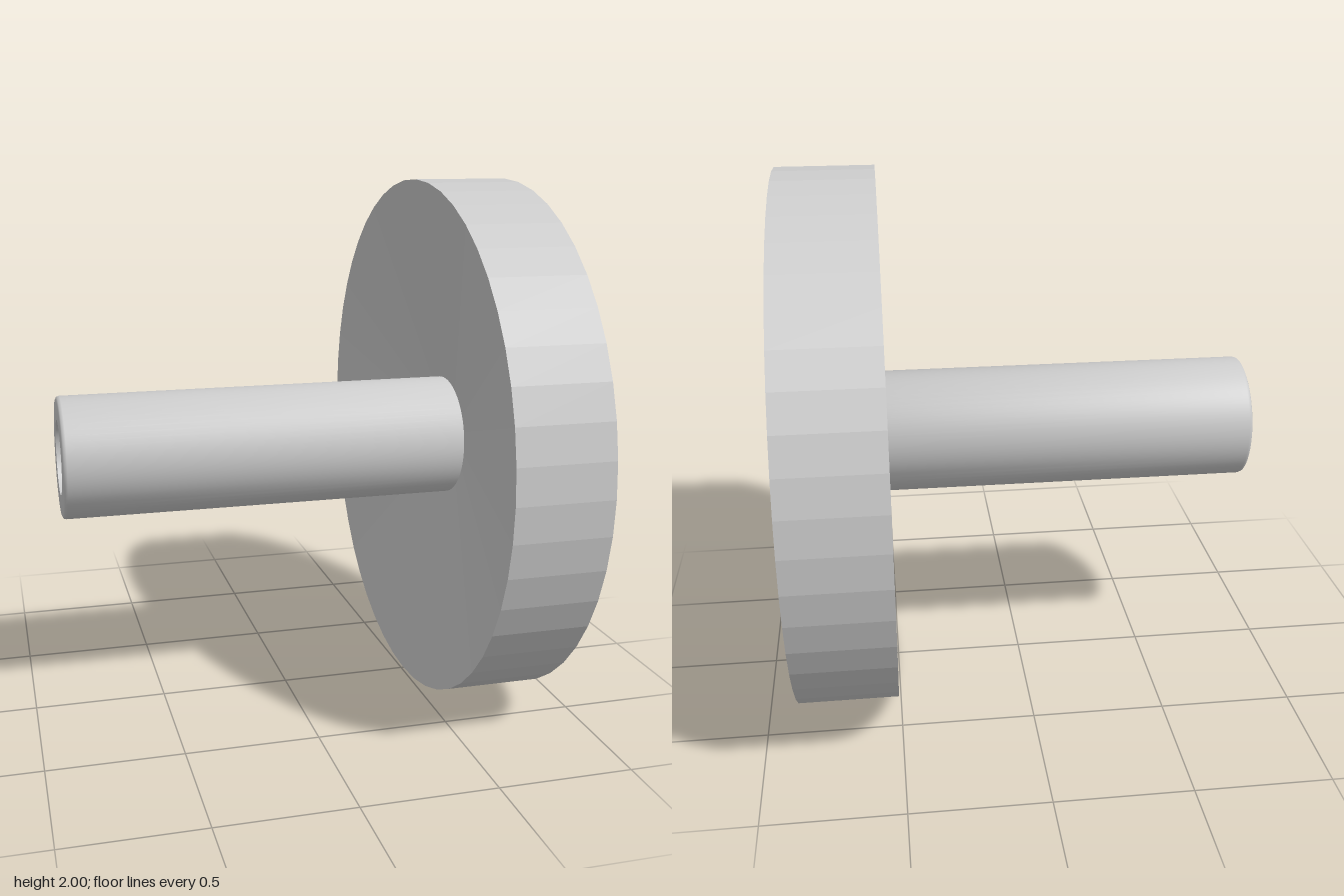
import * as THREE from 'three';
import { toCreasedNormals } from 'three/addons/utils/BufferGeometryUtils.js';

const RIM_RADIUS = 1;
const SHAFT_RADIUS = 0.23;
const BORE_RADIUS = 0.14;

// Revolves a closed [radius, x] outline around the x axis, at axle height.
function turned(name, outline, segments, crease, flatShading) {
  const points = [...outline, outline[0]].map(([r, x]) => new THREE.Vector2(r, x));
  const geometry = new THREE.LatheGeometry(points, segments);
  geometry.rotateZ(-Math.PI / 2);
  const material = new THREE.MeshStandardMaterial({ color: 0xcccccc, flatShading });
  const mesh = new THREE.Mesh(toCreasedNormals(geometry, crease), material);
  mesh.name = name;
  mesh.position.y = RIM_RADIUS;
  return mesh;
}

export function createModel() {
  const model = new THREE.Group();
  model.name = 'wheelWithHollowShaft';

  // Faceted wheel, dished conically on both sides towards the hub
  model.add(turned('wheel', [
    [SHAFT_RADIUS - 0.02, 0.653],
    [RIM_RADIUS, 0.51],
    [RIM_RADIUS, 0.87],
    [SHAFT_RADIUS - 0.02, 0.723],
  ], 48, 0.1, true));

  // Hollow shaft: bevelled free end, softly rounded lip in the wheel's dish
  model.add(turned('shaft', [
    [BORE_RADIUS, -0.87],
    [SHAFT_RADIUS - 0.012, -0.87],
    [SHAFT_RADIUS - 0.003, -0.866],
    [SHAFT_RADIUS, -0.856],
    [SHAFT_RADIUS, 0.725],
    [SHAFT_RADIUS - 0.008, 0.735],
    [SHAFT_RADIUS - 0.025, 0.74],
    [BORE_RADIUS + 0.025, 0.74],
    [BORE_RADIUS + 0.006, 0.735],
    [BORE_RADIUS, 0.725],
  ], 64, 0.9, false));

  return model;
}
